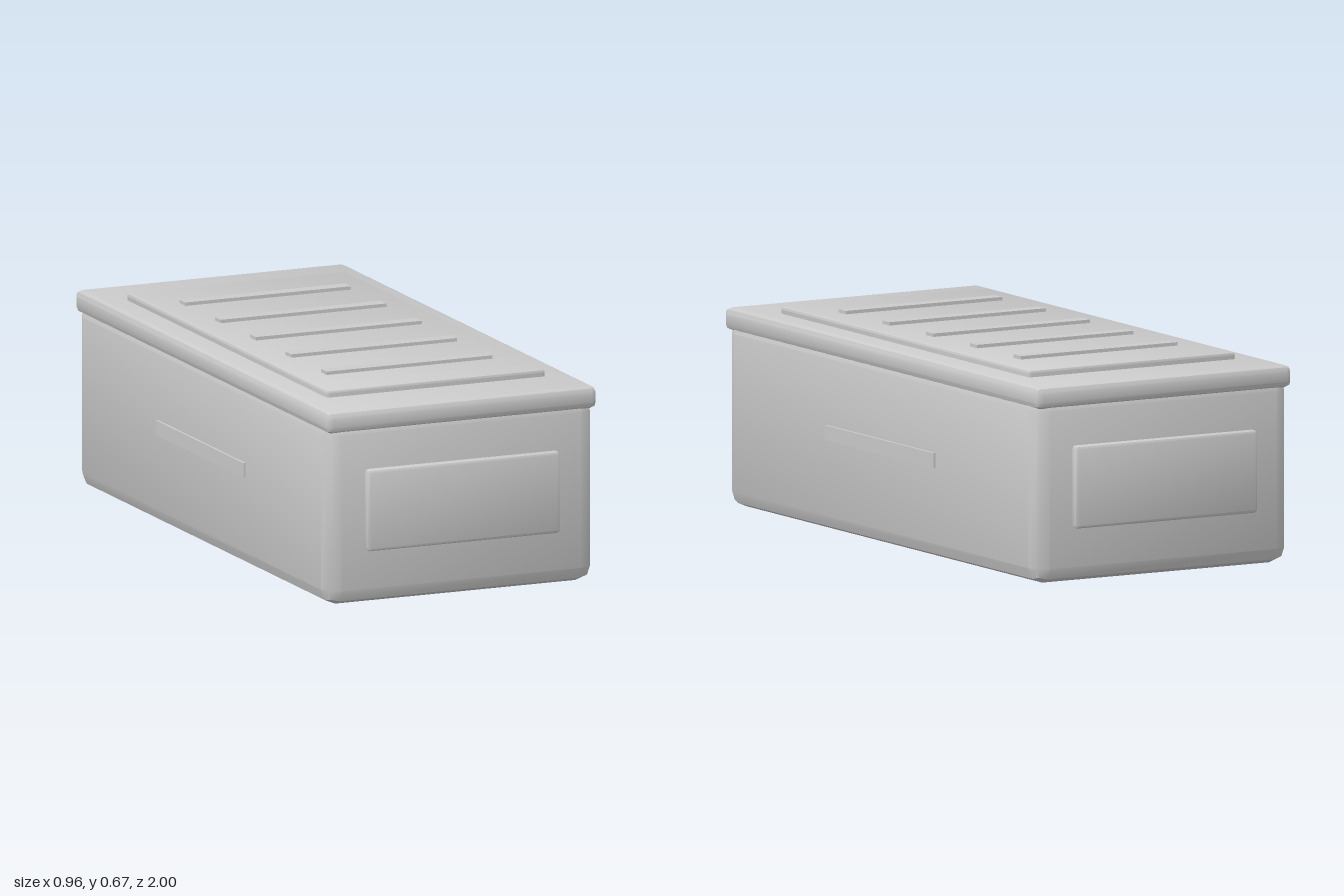
import * as THREE from 'three';
import { RoundedBoxGeometry } from 'three/addons/geometries/RoundedBoxGeometry.js';
import { toCreasedNormals } from 'three/addons/utils/BufferGeometryUtils.js';

const grey = new THREE.MeshStandardMaterial({ color: 0xcccccc });
grey.name = 'light grey';

export function createModel() {
  const model = new THREE.Group();
  model.name = 'storageBox';

  // Box given by its size, centre height and optional bevel radius
  function addBox(name, [w, h, d], [x, y, z], radius = 0) {
    const geometry = radius
      ? toCreasedNormals(new RoundedBoxGeometry(w, h, d, 1, radius), 0.5)
      : new THREE.BoxGeometry(w, h, d);
    const mesh = new THREE.Mesh(geometry, grey);
    mesh.name = name;
    mesh.position.set(x, y, z);
    model.add(mesh);
  }

  // Main container and overhanging lid
  addBox('body', [0.94, 0.61, 1.955], [0, 0.305, 0], 0.05);
  addBox('lid', [0.946, 0.072, 1.975], [0, 0.604, 0], 0.02);

  // Raised lid plate with cross ribs
  addBox('lidPlate', [0.766, 0.036, 1.565], [0, 0.645, 0], 0.01);
  for (let i = -2; i <= 2; i++) {
    addBox('lidRib', [0.58, 0.024, 0.045], [0, 0.662, i * 0.275]);
  }

  // End panels and side grips, mirrored
  for (const side of [-1, 1]) {
    addBox('endPanel', [0.674, 0.267, 0.04], [0, 0.309, side * 0.98], 0.01);
    addBox('sideGrip', [0.024, 0.048, 0.685], [side * 0.466, 0.321, 0]);
  }
  return model;
}
